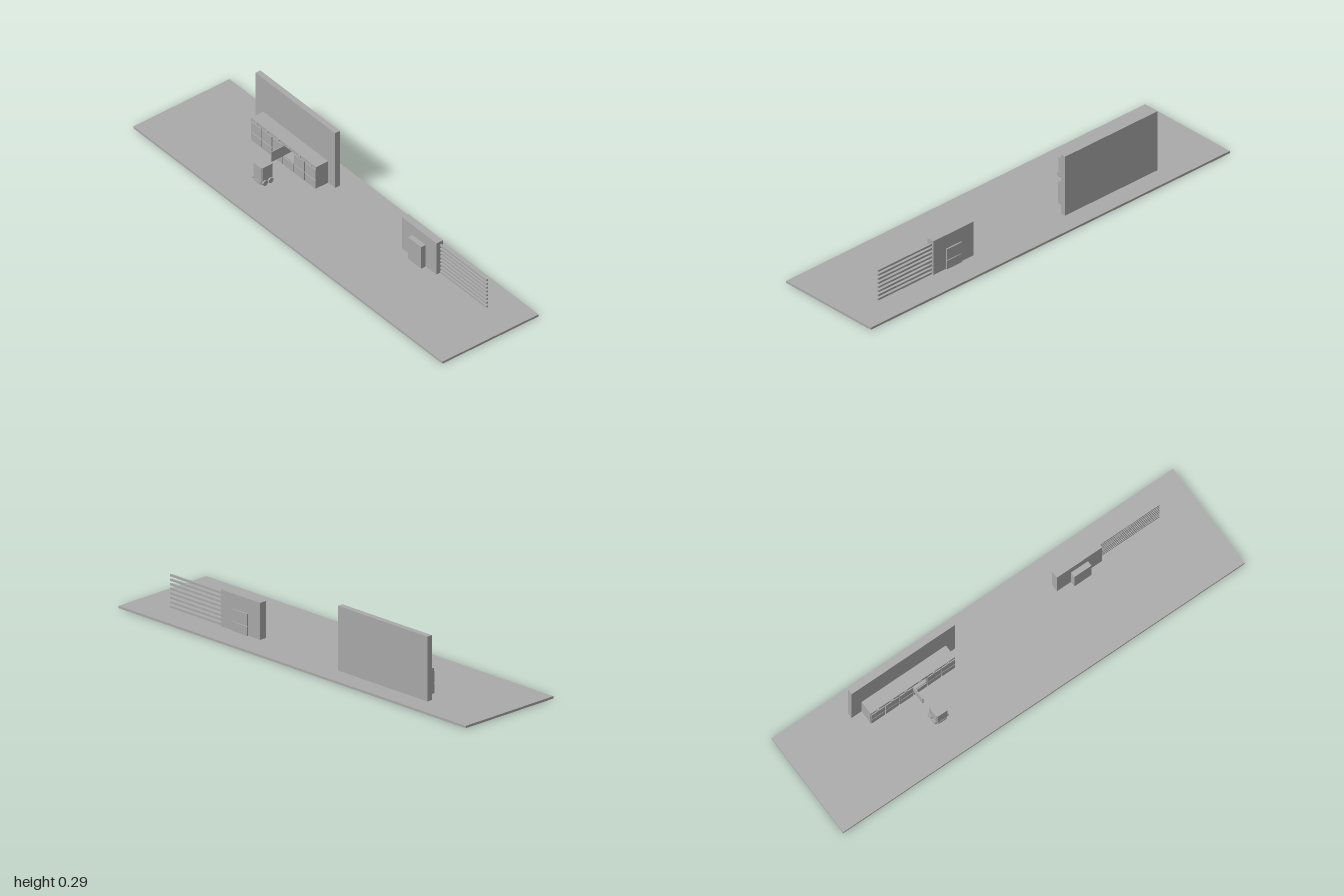
import * as THREE from 'three';

export function createModel() {
  const model = new THREE.Group();
  const grey = new THREE.MeshStandardMaterial({ color: 0xaaaaaa });
  grey.name = 'plain grey';

  // Box given by its lower and upper corners
  const box = (parent, name, [x0, y0, z0], [x1, y1, z1]) => {
    const mesh = new THREE.Mesh(new THREE.BoxGeometry(x1 - x0, y1 - y0, z1 - z0), grey);
    mesh.position.set((x0 + x1) / 2, (y0 + y1) / 2, (z0 + z1) / 2);
    mesh.name = name;
    parent.add(mesh);
    return mesh;
  };
  const group = (name) => {
    const g = new THREE.Group();
    g.name = name;
    model.add(g);
    return g;
  };

  box(model, 'ground', [-1, 0, -0.25], [1, 0.01, 0.25]);
  box(model, 'backWall', [-0.685, 0.01, -0.157], [-0.17, 0.29, -0.132]);

  // Locker row with one open compartment
  const lockers = group('lockers');
  const left = -0.635, pitch = 0.07, count = 6, open = 3;
  const nicheX = left + open * pitch;
  const back = -0.132, front = -0.069;
  box(lockers, 'lockerBase', [left, 0.01, back], [-0.215, 0.055, front]);
  box(lockers, 'lockerTop', [left, 0.105, back], [-0.215, 0.12, front]);
  box(lockers, 'lockerBodyRight', [left, 0.055, back], [nicheX + 0.003, 0.105, front]);
  box(lockers, 'lockerBodyLeft', [nicheX + pitch - 0.003, 0.055, back], [-0.215, 0.105, front]);
  box(lockers, 'nicheBack', [nicheX, 0.055, back], [nicheX + pitch, 0.105, -0.126]);
  for (let i = 0; i < count; i++) {
    const x = left + i * pitch;
    box(lockers, 'lowerPanel', [x + 0.0025, 0.01, front], [x + pitch - 0.0025, 0.05, -0.065]);
    box(lockers, 'doorLamp', [x + 0.028, 0.11, front], [x + 0.042, 0.116, -0.065]);
    if (i !== open)
      box(lockers, 'lockerDoor', [x + 0.0025, 0.055, front], [x + pitch - 0.0025, 0.105, -0.065]);
  }
  box(lockers, 'openDoor', [nicheX + 0.001, 0.055, front], [nicheX + 0.005, 0.105, -0.003]);

  // Delivery cart: chamfered body on four wheels
  const cart = group('cart');
  cart.position.set(-0.393, 0, 0.064);
  const prism = (name, w, d, c, y0, y1) => {
    const s = new THREE.Shape([
      [-w + c, -d], [w - c, -d], [w, -d + c], [w, d - c],
      [w - c, d], [-w + c, d], [-w, d - c], [-w, -d + c],
    ].map(([x, y]) => new THREE.Vector2(x, y)));
    const geo = new THREE.ExtrudeGeometry(s, { depth: y1 - y0, bevelEnabled: false });
    geo.rotateX(-Math.PI / 2);
    const mesh = new THREE.Mesh(geo, grey);
    mesh.position.y = y0;
    mesh.name = name;
    cart.add(mesh);
  };
  prism('cartBody', 0.029, 0.03, 0.006, 0.028, 0.1);
  prism('cartChassis', 0.027, 0.032, 0.008, 0.014, 0.028);
  box(cart, 'rearHatch', [-0.02, 0.06, -0.034], [0.02, 0.094, -0.03]);
  box(cart, 'rearHook', [-0.004, 0.029, -0.036], [0.004, 0.033, -0.03]);
  for (const sx of [-1, 1]) for (const sz of [-1, 1]) {
    const geo = new THREE.CylinderGeometry(0.0125, 0.0125, 0.008, 24).rotateZ(Math.PI / 2);
    const wheel = new THREE.Mesh(geo, grey);
    wheel.position.set(sx * 0.031, 0.0225, sz * 0.0145);
    wheel.name = 'wheel';
    cart.add(wheel);
  }

  // Gatehouse with a projecting booth and rear panels
  const gate = group('gatehouse');
  box(gate, 'gateWall', [0.31, 0.01, -0.126], [0.535, 0.17, -0.093]);
  box(gate, 'booth', [0.38, 0.01, -0.093], [0.465, 0.12, -0.069]);
  box(gate, 'rearLowerPanel', [0.38, 0.01, -0.126], [0.465, 0.05, -0.132]
    .map((v, i) => (i === 2 ? -0.126 : v))).position.z = -0.129;
  gate.children[gate.children.length - 1].geometry = new THREE.BoxGeometry(0.085, 0.04, 0.006);
  box(gate, 'rearUpperPanel', [0.38, 0.053, -0.132], [0.465, 0.105, -0.126]);

  // Fence of horizontal bars
  const fence = group('fence');
  for (let i = 0; i < 8; i++) {
    const y = 0.016 + i * 0.0193;
    box(fence, 'fenceBar', [0.535, y - 0.0045, -0.119], [0.835, y + 0.0045, -0.111]);
  }
  return model;
}
